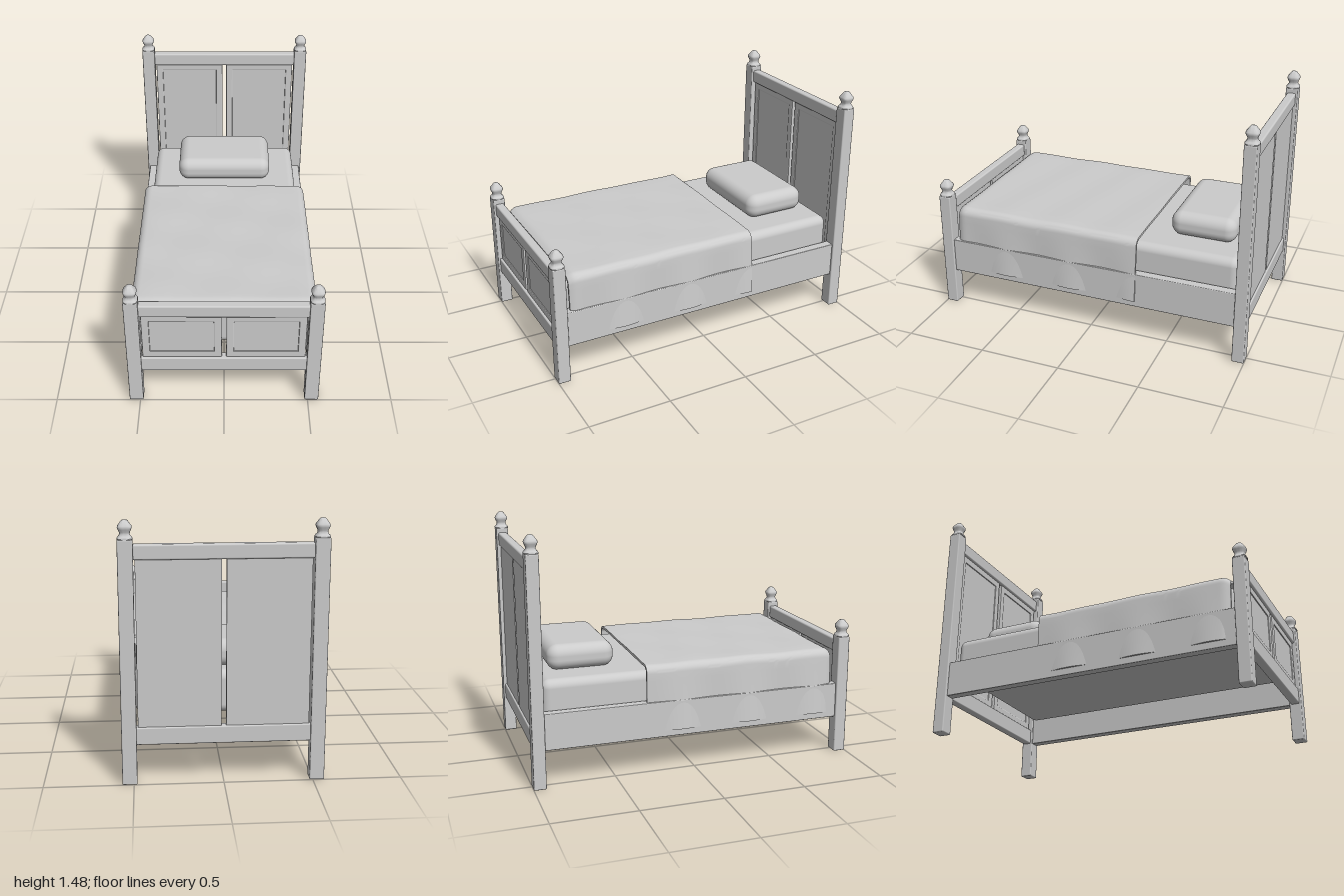
import * as THREE from 'three';
import { mergeVertices, toCreasedNormals } from 'three/addons/utils/BufferGeometryUtils.js';
import { RoundedBoxGeometry } from 'three/addons/geometries/RoundedBoxGeometry.js';

const grey = new THREE.MeshStandardMaterial({ color: 0xcccccc });
const greyDouble = new THREE.MeshStandardMaterial({ color: 0xcccccc, side: THREE.DoubleSide });

function add(parent, name, geometry, x = 0, y = 0, z = 0, material = grey) {
  const mesh = new THREE.Mesh(geometry, material);
  mesh.name = name;
  mesh.position.set(x, y, z);
  parent.add(mesh);
  return mesh;
}

// Box with softened edges, given by its lower and upper limits
function softBox(parent, name, [x0, x1], [y0, y1], [z0, z1], radius = 0.008, segments = 2) {
  const geometry = new RoundedBoxGeometry(x1 - x0, y1 - y0, z1 - z0, segments, radius);
  return add(parent, name, geometry, (x0 + x1) / 2, (y0 + y1) / 2, (z0 + z1) / 2);
}

// Turned finial with a slightly squared plan
function finialGeometry() {
  const profile = [[0, 0], [0.041, 0], [0.042, 0.006], [0.038, 0.013], [0.032, 0.018], [0.027, 0.03],
    [0.029, 0.04], [0.036, 0.054], [0.039, 0.064], [0.037, 0.072], [0.028, 0.084], [0.021, 0.094],
    [0.014, 0.102], [0, 0.105]].map(([r, y]) => new THREE.Vector2(r, y));
  const geometry = new THREE.LatheGeometry(profile, 32);
  const p = geometry.attributes.position;
  for (let i = 0; i < p.count; i++) {
    const x = p.getX(i), z = p.getZ(i), r = Math.hypot(x, z);
    if (r < 1e-6) continue;
    const k = Math.pow((x / r) ** 4 + (z / r) ** 4, -0.25);
    p.setX(i, x * (1 + (k - 1) * 0.7));
    p.setZ(i, z * (1 + (k - 1) * 0.7));
  }
  return toCreasedNormals(geometry, 0.7);
}

function rectangle(target, x0, x1, y0, y1) {
  target.moveTo(x0, y0).lineTo(x1, y0).lineTo(x1, y1).lineTo(x0, y1).closePath();
  return target;
}

// Wooden panel: flat back, bevelled frame around a slightly sunken field
function panel(parent, x0, x1, y0, y1) {
  const group = new THREE.Group();
  group.name = 'panel';
  parent.add(group);
  const m = 0.045;
  const frame = rectangle(new THREE.Shape(), x0, x1, y0, y1);
  frame.holes.push(rectangle(new THREE.Path(), x0 + m, x1 - m, y0 + m, y1 - m));
  const frameGeometry = new THREE.ExtrudeGeometry(frame, {
    depth: 0.004, bevelEnabled: true, bevelThickness: 0.006, bevelSize: 0.006, bevelOffset: -0.006, bevelSegments: 2,
  });
  add(group, 'panelFrame', frameGeometry, 0, 0, 0.004);
  add(group, 'panelField', new THREE.BoxGeometry(x1 - x0, y1 - y0, 0.024), (x0 + x1) / 2, (y0 + y1) / 2, -0.004);
}

// Head or foot end: posts, finials, rails and two panels
function bedEnd(name, z, postTop, railBottom, railTop) {
  const end = new THREE.Group();
  end.name = name;
  end.position.z = z;
  for (const side of [-1, 1]) {
    const x = side * 0.523;
    softBox(end, 'post', [x - 0.0415, x + 0.0415], [0, postTop], [-0.0375, 0.0375], 0.007);
    add(end, 'finial', finialGeometry(), x, postTop - 0.001, 0);
  }
  softBox(end, 'topRail', [-0.485, 0.485], [railBottom, railTop], [-0.027, 0.027], 0.01);
  softBox(end, 'bottomRail', [-0.485, 0.485], [0.23, 0.33], [-0.027, 0.027]);
  panel(end, 0.013, 0.473, 0.328, railBottom + 0.002);
  panel(end, -0.473, -0.013, 0.328, railBottom + 0.002);
  return end;
}

// Half of a draped cross-section: hem, side, rounded shoulder, half of the top
function drapeHalf(halfWidth, top, hem, radius) {
  const points = [];
  for (let i = 0; i < 8; i++) points.push([halfWidth, hem + (top - radius - hem) * i / 8]);
  for (let i = 0; i <= 8; i++) {
    const a = Math.PI / 2 * i / 8;
    points.push([halfWidth - radius + radius * Math.cos(a), top - radius + radius * Math.sin(a)]);
  }
  for (let i = 1; i <= 5; i++) points.push([(halfWidth - radius) * (1 - i / 6), top]);
  return points;
}

function drape(halfWidth, top, hem, radius) {
  const half = drapeHalf(halfWidth, top, hem, radius);
  const mirrored = half.map(([x, y]) => [-x, y]).reverse();
  return [...half, [0, top], ...mirrored];
}

// Blanket: a draped band swept along the bed, then rippled towards the hem
function blanketGeometry() {
  const z0 = -0.31, z1 = 0.895, top = 0.672, hem = 0.27;
  const outline = [...drape(0.535, top, hem, 0.05), ...drape(0.52, top - 0.015, hem, 0.036).reverse()];
  const shape = new THREE.Shape(outline.map(([x, y]) => new THREE.Vector2(x, y)));
  const geometry = new THREE.ExtrudeGeometry(shape, { depth: z1 - z0, steps: 64, bevelEnabled: false });
  geometry.translate(0, 0, z0);
  const p = geometry.attributes.position;
  for (let i = 0; i < p.count; i++) {
    const x = p.getX(i), y = p.getY(i), z = p.getZ(i), side = Math.sign(x);
    const drop = THREE.MathUtils.clamp((0.62 - y) / 0.35, 0, 1);
    const wave = Math.cos((z - 0.34) * Math.PI * 2 / 0.43) * -side;
    const foot = Math.max(0, (z - 0.845) / 0.05) ** 2;
    const high = THREE.MathUtils.clamp((y - 0.5) / 0.12, 0, 1);
    const ripple = 0.003 * Math.sin(z * 13 + x * 5) * Math.cos(x * 9 - z * 4);
    p.setX(i, x + side * drop * (0.016 + 0.012 * wave) - x * foot * 0.035);
    p.setY(i, y + high * (ripple - foot * 0.02));
  }
  geometry.deleteAttribute('normal');
  geometry.deleteAttribute('uv');
  return toCreasedNormals(mergeVertices(geometry, 1e-5), 0.8);
}

export function createModel() {
  const bed = new THREE.Group();
  bed.name = 'bed';
  bed.add(bedEnd('headboard', -0.9625, 1.372, 1.262, 1.345));
  bed.add(bedEnd('footboard', 0.9625, 0.75, 0.64, 0.722));

  // Side rails
  for (const side of [-1, 1]) {
    const x = side * 0.521;
    softBox(bed, 'sideRail', [x - 0.029, x + 0.029], [0.23, 0.45], [-0.927, 0.927], 0.005);
  }

  // Bedding
  softBox(bed, 'mattress', [-0.485, 0.485], [0.38, 0.625], [-0.92, 0.915], 0.05, 5);
  softBox(bed, 'pillow', [-0.31, 0.31], [0.62, 0.775], [-0.845, -0.44], 0.065, 6);
  add(bed, 'blanket', blanketGeometry(), 0, 0, 0, greyDouble);
  return bed;
}
